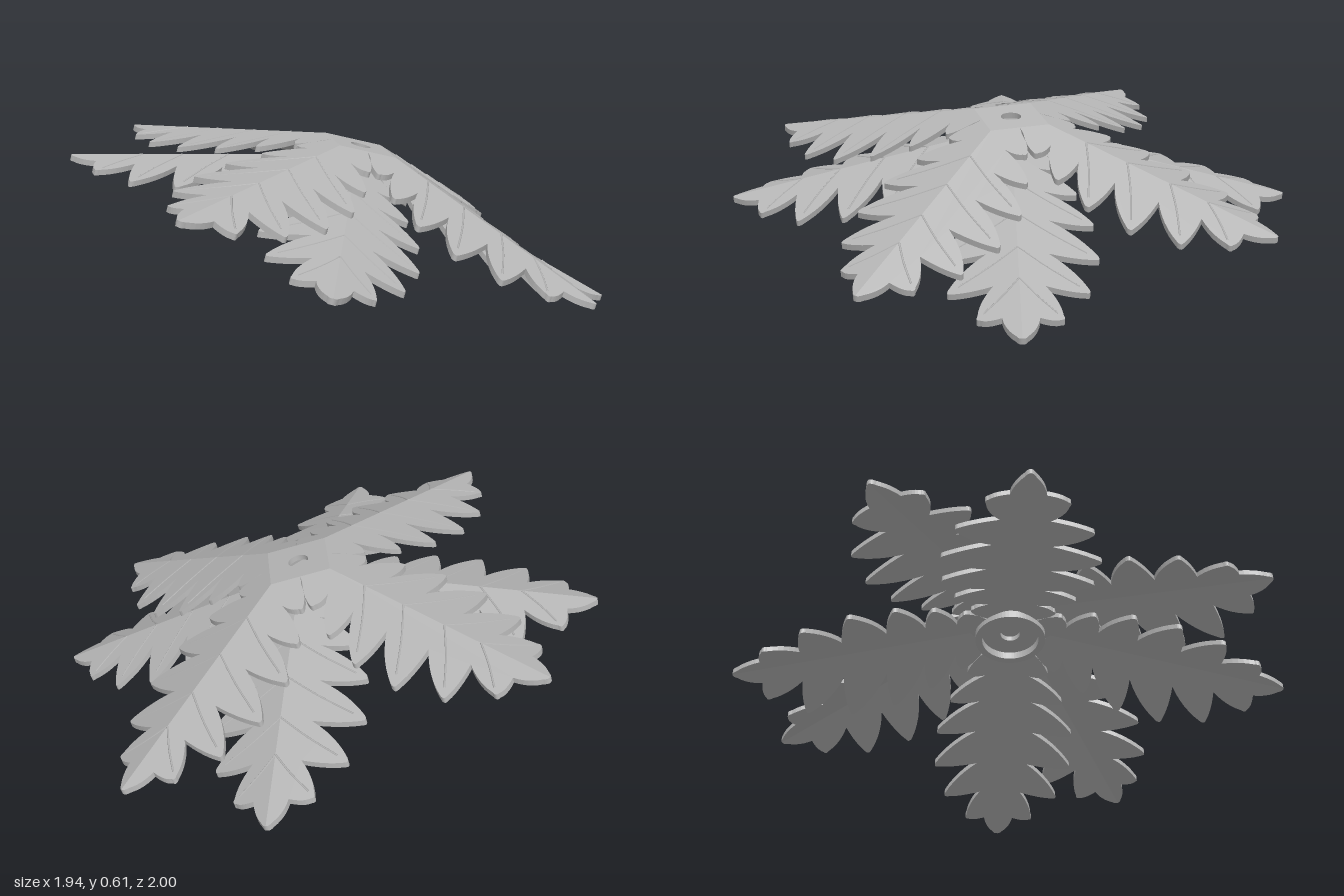
import * as THREE from 'three';

const SLOPE = 0.27;   // fall of the roof-like leaf planes
const HUB = 0.15;     // hub corner distance from the axis
const THICK = 0.02;

// lobe tips and the notches between them: [along the rib, out from the rib]
const LOBES = [[0.88, 0.135], [0.742, 0.225], [0.582, 0.268], [0.425, 0.262], [0.29, 0.215], [0.175, 0.153]];
const NOTCHES = [[0.9, 0.058], [0.76, 0.082], [0.612, 0.1], [0.455, 0.11], [0.315, 0.1], [0.2, 0.085], [0.1, 0.096]];

const roofHeight = (x, y) => -SLOPE * (x + Math.abs(y) - HUB);

// outline of one half of a leaf, side = 1 or -1
function halfLeafShape(side) {
  const s = new THREE.Shape();
  const quad = (cx, cy, x, y) => s.quadraticCurveTo(cx, cy * side, x, y * side);
  s.moveTo(HUB, 0);
  s.lineTo(1, 0);
  quad(1, 0.01, 0.985, 0.018);
  quad(0.95, 0.05, ...NOTCHES[0]);
  LOBES.forEach(([tx, ty], i) => {
    const [ax, ay] = NOTCHES[i], [bx, by] = NOTCHES[i + 1];
    // outer edge, rounded tip, bulging inner edge
    quad((ax + tx) / 2 + 0.014, (ay + ty) / 2 + 0.008, tx + 0.008, ty - 0.01);
    quad(tx + 0.005, ty + 0.005, tx - 0.012, ty - 0.003);
    const dx = tx - bx, dy = ty - by;
    quad(bx + dx * 0.5 - dy * 0.15, by + dy * 0.5 + dx * 0.15, bx, by);
  });
  s.lineTo(HUB / 2, HUB / 2 * side);
  s.closePath();
  return s;
}

// extrude flat, then lay down and shear onto the sloping plane
function halfLeafGeometry(side) {
  const g = new THREE.ExtrudeGeometry(halfLeafShape(side), { depth: THICK, bevelEnabled: false, curveSegments: 6 });
  const p = g.attributes.position;
  for (let i = 0; i < p.count; i++) {
    const x = p.getX(i), y = p.getY(i), z = p.getZ(i);
    p.setXYZ(i, x, roofHeight(x, y) + z - THICK, -y);
  }
  g.computeVertexNormals();
  return g;
}

// fine curved vein from the rib towards a lobe tip
function veinGeometry([tx, ty], side) {
  const pts = [[tx - 0.13, 0], [tx - 0.07, ty * 0.4], [tx - 0.015, ty * 0.85]].map(
    ([x, y]) => new THREE.Vector3(x, roofHeight(x, y) - 0.001, -y * side));
  return new THREE.TubeGeometry(new THREE.CatmullRomCurve3(pts), 8, 0.0035, 5);
}

export function createModel() {
  const grey = new THREE.MeshStandardMaterial({ color: 0xb4b4b4 });
  grey.name = 'leaf grey';
  const add = (parent, geometry, name) => {
    const m = new THREE.Mesh(geometry, grey);
    m.name = name;
    parent.add(m);
    return m;
  };

  const halves = [1, -1].map(halfLeafGeometry);
  const veins = [1, -1].flatMap((side) => LOBES.slice(0, 4).map((l) => veinGeometry(l, side)));

  // square hub plate with a round hole
  const hubShape = new THREE.Shape([[HUB, 0], [0, HUB], [-HUB, 0], [0, -HUB]].map(([x, y]) => new THREE.Vector2(x, y)));
  hubShape.holes.push(new THREE.Path().absarc(0, 0, 0.036, 0, Math.PI * 2, true));
  const hub = new THREE.ExtrudeGeometry(hubShape, { depth: THICK, bevelEnabled: false, curveSegments: 24 });
  hub.rotateX(-Math.PI / 2).translate(0, -THICK, 0);

  // collar ring beneath the hub
  const collarShape = new THREE.Shape().absarc(0, 0, 0.13, 0, Math.PI * 2);
  collarShape.holes.push(new THREE.Path().absarc(0, 0, 0.105, 0, Math.PI * 2, true));
  const collar = new THREE.ExtrudeGeometry(collarShape, { depth: 0.03, bevelEnabled: false, curveSegments: 32 });
  collar.rotateX(-Math.PI / 2).translate(0, -THICK - 0.03, 0);

  // one whorl of four leaves
  function whorl(name) {
    const w = new THREE.Group();
    w.name = name;
    add(w, hub, 'hub');
    add(w, collar, 'collar');
    for (let i = 0; i < 4; i++) {
      const leaf = new THREE.Group();
      leaf.name = 'leaf';
      leaf.rotation.y = i * Math.PI / 2;
      halves.forEach((g) => add(leaf, g, 'leafHalf'));
      veins.forEach((g) => add(leaf, g, 'vein'));
      w.add(leaf);
    }
    return w;
  }

  const upper = whorl('upperLeaves');
  upper.rotation.y = -Math.PI / 6;
  const lower = whorl('lowerLeaves');
  lower.position.y = -0.075;

  // the whole canopy leans towards +x
  const canopy = new THREE.Group();
  canopy.name = 'canopy';
  canopy.add(upper, lower);
  canopy.rotation.z = -Math.PI / 12;
  canopy.position.set(0.078, 0.573, 0);

  const model = new THREE.Group();
  model.name = 'leafCanopy';
  model.add(canopy);
  return model;
}
